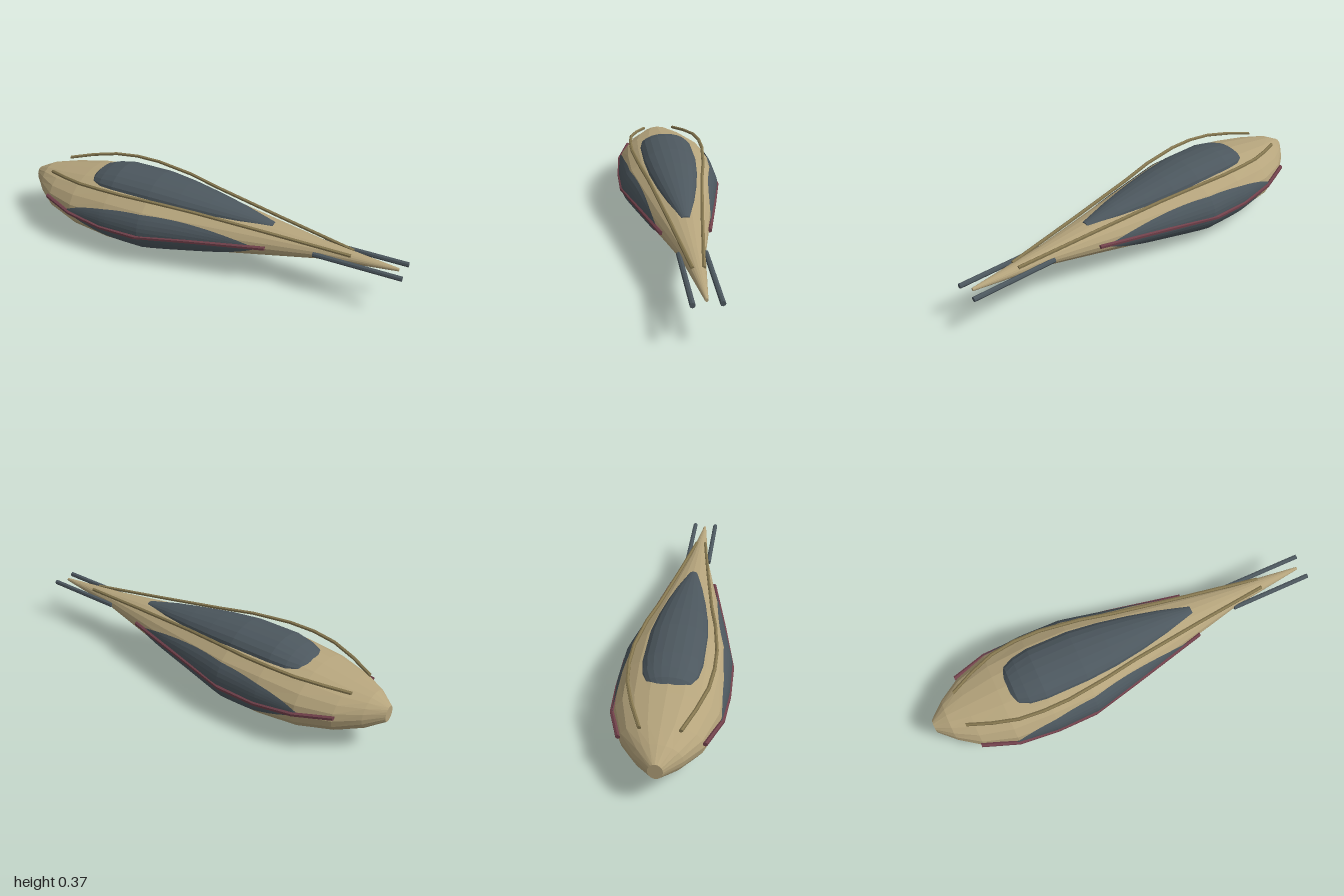
import * as THREE from 'three';

const mat = (name, color, side = THREE.FrontSide) =>
  Object.assign(new THREE.MeshStandardMaterial({ color, flatShading: true, side }), { name });

// Hull cross-sections: x, centre y, half width (z), half height (y)
const HULL = [
  [-1, 0.195, 0.032, 0.04], [-0.925, 0.188, 0.105, 0.083], [-0.82, 0.177, 0.18, 0.112],
  [-0.66, 0.172, 0.236, 0.144], [-0.46, 0.17, 0.252, 0.168], [-0.25, 0.17, 0.248, 0.168],
  [0, 0.18, 0.192, 0.13], [0.36, 0.193, 0.108, 0.078], [0.6, 0.202, 0.055, 0.042],
  [0.97, 0.205, 0.007, 0.008],
];

// Canopy cross-sections
const CANOPY = [
  [-0.612, 0.295, 0.075, 0.025], [-0.59, 0.297, 0.102, 0.044], [-0.54, 0.3, 0.125, 0.058],
  [-0.46, 0.302, 0.138, 0.073], [-0.25, 0.302, 0.137, 0.073], [-0.1, 0.293, 0.121, 0.067],
  [0.05, 0.283, 0.096, 0.055], [0.2, 0.273, 0.064, 0.039], [0.36, 0.262, 0.022, 0.014],
];

// Skin over elliptical sections [x, centre y, half z, half y, centre z], closed at both ends
function loft(sections, sides) {
  const pos = [], idx = [], last = sections.length - 1;
  sections.forEach(([x, c, a, b, z = 0]) => {
    for (let j = 0; j < sides; j++) {
      const t = (j / sides) * Math.PI * 2;
      pos.push(x, c + b * Math.cos(t), z + a * Math.sin(t));
    }
  });
  [sections[0], sections[last]].forEach(([x, c, , , z = 0]) => pos.push(x, c, z));
  const startCentre = sections.length * sides;
  for (let j = 0; j < sides; j++) {
    const k = (j + 1) % sides;
    for (let i = 0; i < last; i++) {
      const p = i * sides, q = p + sides;
      idx.push(p + j, p + k, q + j, p + k, q + k, q + j);
    }
    idx.push(startCentre, k, j, startCentre + 1, last * sides + j, last * sides + k);
  }
  return finish(pos, idx);
}

function finish(pos, idx) {
  const g = new THREE.BufferGeometry();
  g.setAttribute('position', new THREE.Float32BufferAttribute(pos, 3));
  g.setIndex(idx);
  const flat = g.toNonIndexed();
  flat.computeVertexNormals();
  return flat;
}

// Linear interpolation in a table whose first column is x
function sample(table, x) {
  let i = 0;
  while (i < table.length - 2 && x > table[i + 1][0]) i++;
  const t = (x - table[i][0]) / (table[i + 1][0] - table[i][0]);
  return table[i].map((v, k) => v + (table[i + 1][k] - v) * t);
}

// Lens-shaped side panel lying just proud of the hull; side is +1 or -1
function sidePanel(side) {
  const x0 = -0.675, x1 = 0.32, nx = 40, ny = 10, pos = [], idx = [];
  for (let i = 0; i <= nx; i++) {
    const u = (1 - Math.cos((i / nx) * Math.PI)) / 2;
    const x = x0 + (x1 - x0) * u;
    const [, c, a, b] = sample(HULL, x);
    const mid = 0.18 - 0.022 * Math.sin(Math.PI * u) + 0.012 * u + 0.01 * (1 - u);
    const half = 0.096 * Math.pow(Math.sin(Math.PI * Math.pow(u, 0.92)), 0.8);
    for (let j = 0; j <= ny; j++) {
      const y = mid + half * ((2 * j) / ny - 1);
      const w = Math.min(1, Math.abs((y - c) / b));
      pos.push(x, y, side * (a * Math.sqrt(1 - w * w) + 0.005));
    }
  }
  for (let i = 0; i < nx; i++) {
    for (let j = 0; j < ny; j++) {
      const p = i * (ny + 1) + j, q = p + ny + 1;
      if (side > 0) idx.push(p, q, p + 1, q, q + 1, p + 1);
      else idx.push(p, p + 1, q, q, p + 1, q + 1);
    }
  }
  return finish(pos, idx);
}

// Thin rail through [x, y, z] points, mirrored by side
const rail = (points, r, side, sides = 6) =>
  loft(points.map(([x, y, z]) => [x, y, r, r, z * side]), sides);

const UPPER_RAIL = [
  [-0.855, 0.288, 0.085], [-0.74, 0.308, 0.135], [-0.62, 0.323, 0.174], [-0.5, 0.331, 0.188],
  [-0.37, 0.331, 0.187], [-0.17, 0.322, 0.162], [0, 0.304, 0.13], [0.36, 0.266, 0.077],
  [0.75, 0.225, 0.024],
];
const LOWER_RAIL = [
  [-0.83, 0.2, 0.182], [-0.66, 0.178, 0.24], [-0.47, 0.156, 0.254], [-0.27, 0.156, 0.253],
  [0, 0.178, 0.195], [0.36, 0.198, 0.112],
];
const PROBE = [[0.58, 0.203, 0.059], [1, 0.203, 0.059]];

export function createModel() {
  const model = new THREE.Group();
  model.name = 'teardropCraft';
  const tan = mat('hullTan', 0xb5a47c);
  const slate = mat('slateGlass', 0x4c575e, THREE.DoubleSide);
  const bronze = mat('railBronze', 0x84764f);
  const red = mat('railRed', 0x70404a);

  const add = (name, geometry, material) => {
    const mesh = new THREE.Mesh(geometry, material);
    mesh.name = name;
    model.add(mesh);
  };

  add('hull', loft(HULL, 20), tan);
  add('canopy', loft(CANOPY, 20), slate);

  // Mirrored side details
  for (const side of [1, -1]) {
    const label = side > 0 ? 'front' : 'back';
    add(label + 'SidePanel', sidePanel(side), slate);
    add(label + 'UpperRail', rail(UPPER_RAIL, 0.009, side), bronze);
    add(label + 'LowerRail', rail(LOWER_RAIL, 0.011, side), red);
    add(label + 'TailProbe', rail(PROBE, 0.012, side, 8), slate);
  }
  return model;
}
